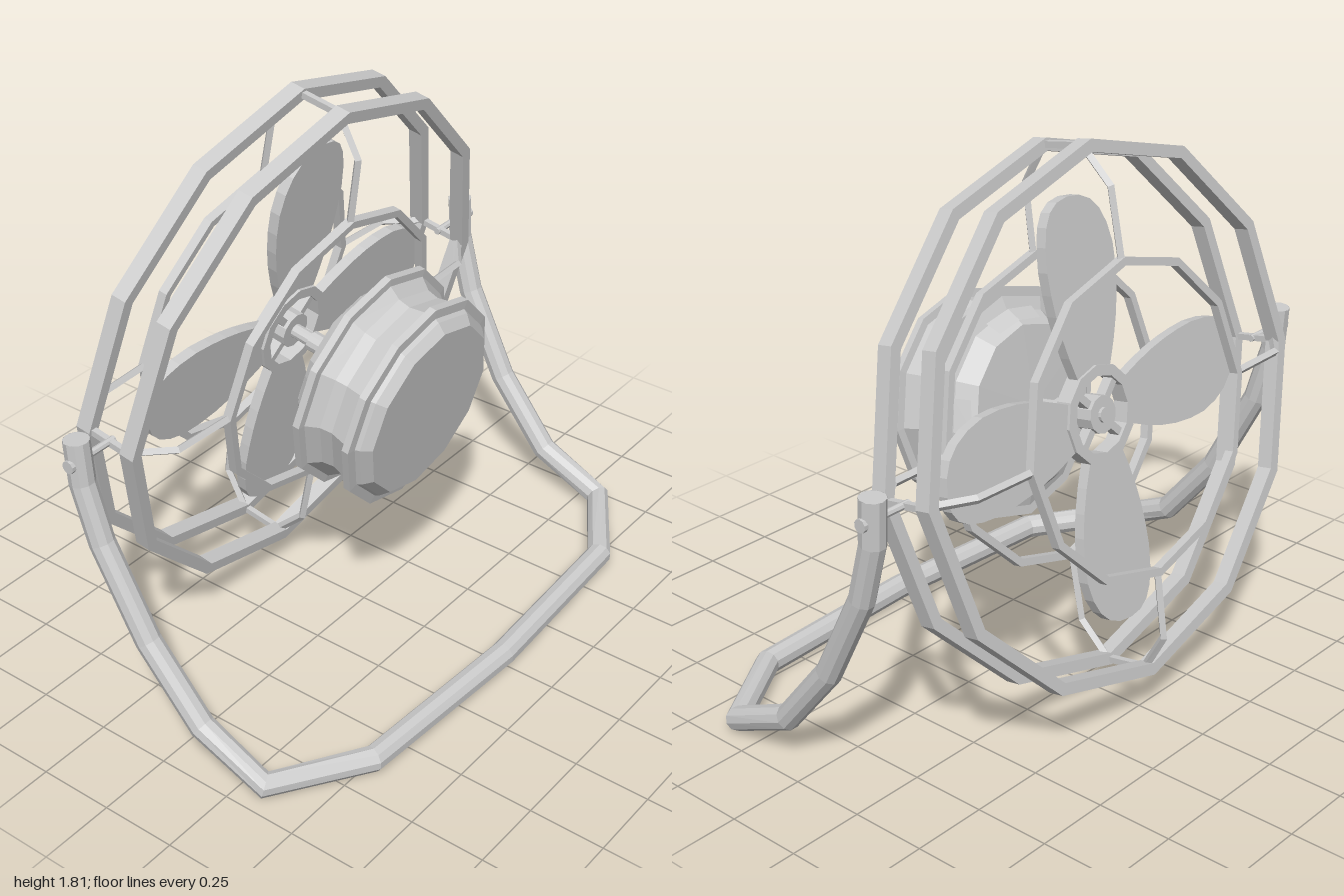
import * as THREE from 'three';

const mat = new THREE.MeshStandardMaterial({ color: 0xcccccc, flatShading: true, side: THREE.DoubleSide });
const SIDES = 12;

function add(parent, name, geometry) {
  const mesh = new THREE.Mesh(geometry, mat);
  mesh.name = name;
  parent.add(mesh);
  return mesh;
}

// Turned part around the x axis; profile points are [radius, x]
function turned(profile) {
  const g = new THREE.LatheGeometry(profile.map(([r, x]) => new THREE.Vector2(r, x)), SIDES);
  return g.rotateZ(-Math.PI / 2);
}

// Flat-sided hoop around the x axis
function hoop(inner, outer, width, x) {
  const a = x - width / 2, b = x + width / 2;
  return turned([[outer, a], [outer, b], [inner, b], [inner, a], [outer, a]]);
}

// Straight-segmented path with mitred corners
class Polyline extends THREE.Curve {
  constructor(points) {
    super();
    this.points = points.map((p) => new THREE.Vector3(...p));
  }
  getPointAt(u) {
    return this.points[Math.round(u * (this.points.length - 1))].clone();
  }
  getTangentAt(u) {
    const p = this.points, n = p.length - 1, i = Math.round(u * n);
    const t = new THREE.Vector3();
    if (i > 0) t.add(p[i].clone().sub(p[i - 1]).normalize());
    if (i < n) t.add(p[i + 1].clone().sub(p[i]).normalize());
    return t.normalize();
  }
}

function bentRod(points, radius, sides) {
  return new THREE.TubeGeometry(new Polyline(points), points.length - 1, radius, sides, false);
}

function buildGuard() {
  const guard = new THREE.Group();
  guard.name = 'guard';
  for (const s of [-1, 1]) {
    add(guard, 'outerRing', hoop(0.808, 0.847, 0.052, s * 0.086));
    add(guard, 'innerRing', hoop(0.475, 0.5, 0.03, s * 0.172));
  }
  for (let i = 0; i < 4; i++) {
    const arm = new THREE.Group();
    arm.name = 'guardArm';
    arm.rotation.x = i * Math.PI / 2;
    for (const s of [-1, 1]) {
      add(arm, 'guardWire', bentRod([[s * 0.08, 0.82, 0], [s * 0.165, 0.71, 0], [s * 0.172, 0.485, 0]], 0.014, 4));
    }
    add(arm, 'crossBar', new THREE.BoxGeometry(0.18, 0.02, 0.02)).position.y = 0.828;
    guard.add(arm);
  }
  return guard;
}

function buildPropeller() {
  const fan = new THREE.Group();
  fan.name = 'propeller';
  add(fan, 'hubRim', hoop(0.122, 0.156, 0.055, 0));
  add(fan, 'hubCore', turned([[0, -0.03], [0.06, -0.03], [0.06, 0.03], [0, 0.03]]));

  // Rounded blade, leaning a little to one side at the tip
  const outline = new THREE.Shape();
  outline.moveTo(-0.07, 0.13);
  outline.bezierCurveTo(-0.13, 0.26, -0.16, 0.38, -0.15, 0.5);
  outline.bezierCurveTo(-0.13, 0.62, -0.07, 0.68, 0.03, 0.68);
  outline.bezierCurveTo(0.12, 0.68, 0.15, 0.62, 0.155, 0.48);
  outline.bezierCurveTo(0.15, 0.36, 0.13, 0.26, 0.08, 0.13);
  const blade = new THREE.ExtrudeGeometry(outline, { depth: 0.036, bevelEnabled: false, curveSegments: 5 });
  blade.translate(0, 0, -0.018).rotateY(Math.PI / 2);

  for (let i = 0; i < 4; i++) {
    const turn = i * Math.PI / 2;
    add(fan, 'blade', blade).rotation.x = turn;
    const spoke = add(fan, 'hubSpoke', new THREE.BoxGeometry(0.035, 0.09, 0.025).translate(0, 0.09, 0));
    spoke.rotation.x = turn + Math.PI / 4;
  }
  return fan;
}

function buildMotor() {
  const motor = new THREE.Group();
  motor.name = 'motor';
  add(motor, 'motorHousing', turned([
    [0, 0.25], [0.26, 0.253], [0.302, 0.312], [0.345, 0.326], [0.375, 0.326], [0.375, 0.35],
    [0.35, 0.352], [0.322, 0.39], [0.315, 0.43], [0.33, 0.498], [0.356, 0.5], [0.356, 0.524],
    [0.325, 0.526], [0.318, 0.54], [0.29, 0.568], [0, 0.568],
  ]));
  add(motor, 'shaft', turned([[0, -0.04], [0.024, -0.04], [0.024, 0.26], [0, 0.26]]));
  add(motor, 'shaftCollar', turned([[0, 0.1], [0.034, 0.1], [0.034, 0.15], [0, 0.15]]));

  // Four shallow panels on the tapered front of the housing
  for (let i = 0; i < 4; i++) {
    const g = new THREE.CylinderGeometry(0.306, 0.273, 0.042, 2, 1, true, i * Math.PI / 2 - 0.35, 0.7);
    add(motor, 'housingPanel', g.rotateZ(-Math.PI / 2).translate(0.285, 0, 0));
  }
  return motor;
}

function buildStand() {
  const stand = new THREE.Group();
  stand.name = 'stand';
  const half = [
    [-0.308, 1.025, 0.953], [-0.3, 0.88, 0.95], [-0.245, 0.685, 0.945], [-0.09, 0.385, 0.938],
    [0.105, 0.15, 0.932], [0.34, 0.045, 0.928], [0.525, 0.042, 0.64], [0.56, 0.042, 0],
  ];
  const mirrored = half.slice(0, -1).reverse().map(([x, y, z]) => [x, y, -z]);
  add(stand, 'standTube', bentRod([...half, ...mirrored], 0.041, 10));
  for (const s of [-1, 1]) {
    const cap = add(stand, 'tubeCap', new THREE.CircleGeometry(0.041, 10).rotateX(-Math.PI / 2));
    cap.position.set(-0.308, 1.025, s * 0.953);
    cap.rotation.z = 0.055;
    const pin = new THREE.CylinderGeometry(0.012, 0.012, 0.18, 8).rotateX(Math.PI / 2);
    add(stand, 'pivotPin', pin).position.set(-0.303, 0.953, s * 0.9);
    const head = new THREE.CylinderGeometry(0.021, 0.021, 0.02, 10).rotateX(Math.PI / 2);
    add(stand, 'pinHead', head).position.set(-0.303, 0.953, s * 0.99);
  }
  return stand;
}

export function createModel() {
  const model = new THREE.Group();
  model.name = 'deskFan';
  // The head tips back around the pivot pins
  const head = new THREE.Group();
  head.name = 'fanHead';
  head.position.set(-0.305, 0.953, 0);
  head.rotation.z = -0.17;
  head.add(buildGuard(), buildPropeller(), buildMotor());
  model.add(head, buildStand());
  return model;
}
